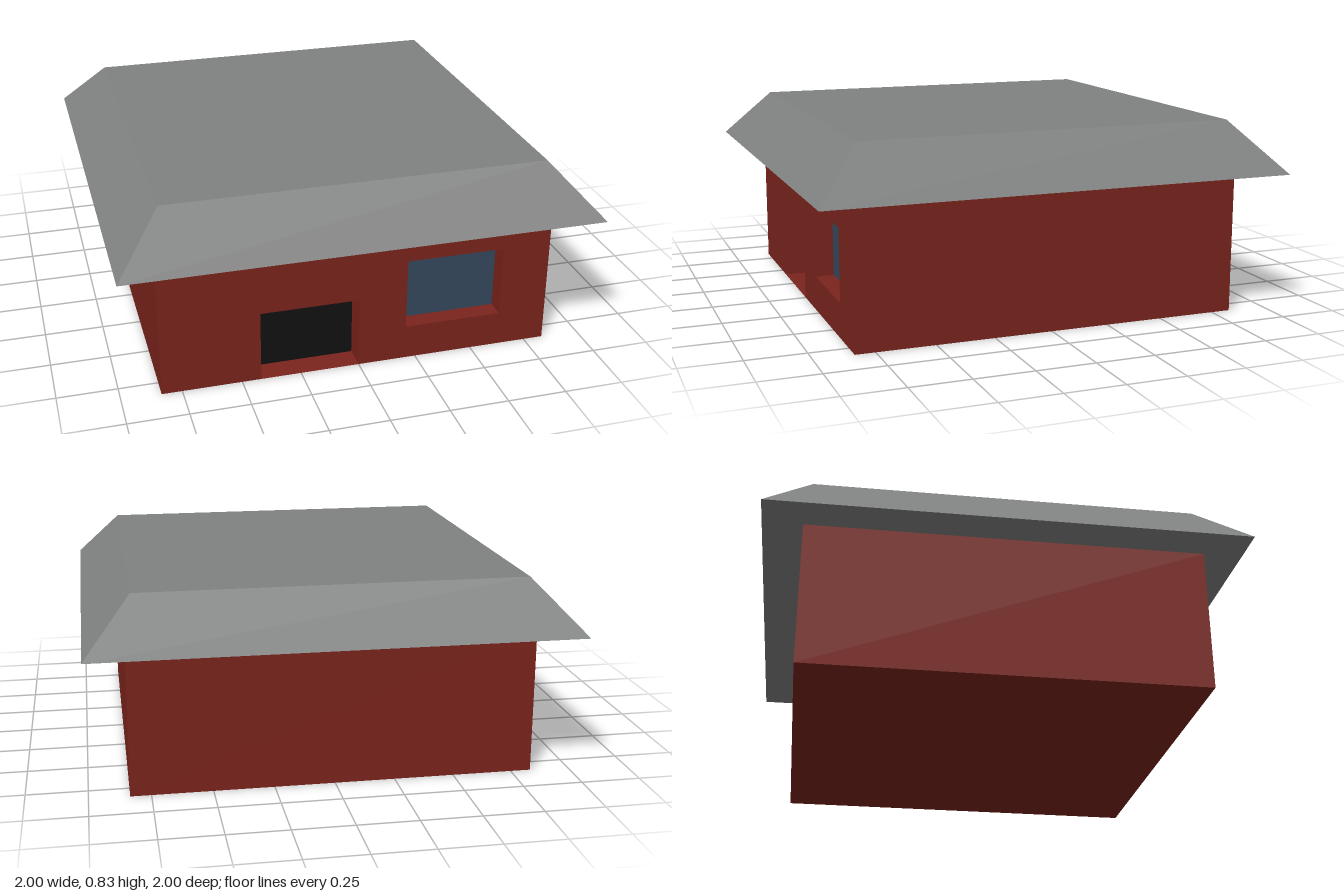
import * as THREE from 'three';
import { mergeGeometries } from 'three/addons/utils/BufferGeometryUtils.js';

const HALF = 0.835, WALL_H = 0.615, ROOF_H = 0.215;
const door = { x0: -0.42, x1: 0, y0: 0, y1: 0.31, depth: 0.105 };
const glass = { x0: 0.205, x1: 0.625, y0: 0.15, y1: 0.46, depth: 0.08 };

// A flat rectangle facing +z, turned and moved into place
function panel(w, h, x, y, z, rx = 0, ry = 0) {
  return new THREE.PlaneGeometry(w, h).rotateX(rx).rotateY(ry).translate(x, y, z);
}

// Inner sides of a recess cut into the front wall
function reveal({ x0, x1, y0, y1, depth }, withSill) {
  const w = x1 - x0, h = y1 - y0, cx = (x0 + x1) / 2, cy = (y0 + y1) / 2;
  const z = HALF - depth / 2, q = Math.PI / 2;
  const sides = [
    panel(depth, h, x0, cy, z, 0, q),
    panel(depth, h, x1, cy, z, 0, -q),
    panel(w, depth, cx, y1, z, q),
  ];
  if (withSill) sides.push(panel(w, depth, cx, y0, z, -q));
  return sides;
}

// Front wall with the doorway notch and the window hole
function frontWall() {
  const s = new THREE.Shape();
  s.moveTo(-HALF, 0);
  s.lineTo(door.x0, 0);
  s.lineTo(door.x0, door.y1);
  s.lineTo(door.x1, door.y1);
  s.lineTo(door.x1, 0);
  s.lineTo(HALF, 0);
  s.lineTo(HALF, WALL_H);
  s.lineTo(-HALF, WALL_H);
  s.closePath();
  const hole = new THREE.Path();
  hole.moveTo(glass.x0, glass.y0);
  hole.lineTo(glass.x0, glass.y1);
  hole.lineTo(glass.x1, glass.y1);
  hole.lineTo(glass.x1, glass.y0);
  hole.closePath();
  s.holes.push(hole);
  return new THREE.ShapeGeometry(s).translate(0, 0, HALF);
}

export function createModel() {
  const model = new THREE.Group();
  model.name = 'house';
  const add = (name, geometry, color, options = {}) => {
    const mesh = new THREE.Mesh(geometry, new THREE.MeshStandardMaterial({ color, ...options }));
    mesh.name = name;
    model.add(mesh);
    return mesh;
  };

  // Walls, with the ground slab also serving as the doorway floor
  const W = HALF * 2, q = Math.PI / 2;
  add('walls', mergeGeometries([
    frontWall(),
    panel(W, WALL_H, HALF, WALL_H / 2, 0, 0, q),
    panel(W, WALL_H, -HALF, WALL_H / 2, 0, 0, -q),
    panel(W, WALL_H, 0, WALL_H / 2, -HALF, 0, 2 * q),
    panel(W, W, 0, 0, 0, q),
    ...reveal(door, false),
    ...reveal(glass, true),
  ]), 0x7b241c, { side: THREE.DoubleSide });

  // Door and window panes set back in their recesses
  for (const [name, o, color] of [['door', door, 0x111111], ['window', glass, 0x34495e]]) {
    add(name, panel(o.x1 - o.x0, o.y1 - o.y0, (o.x0 + o.x1) / 2, (o.y0 + o.y1) / 2, HALF - o.depth), color);
  }

  // Flat-topped hipped roof with overhanging eaves
  const roof = new THREE.CylinderGeometry(0.805 * Math.SQRT2, Math.SQRT2, ROOF_H, 4)
    .rotateY(Math.PI / 4)
    .translate(0, WALL_H + ROOF_H / 2, 0);
  add('roof', roof, 0x808281, { flatShading: true });

  return model;
}
